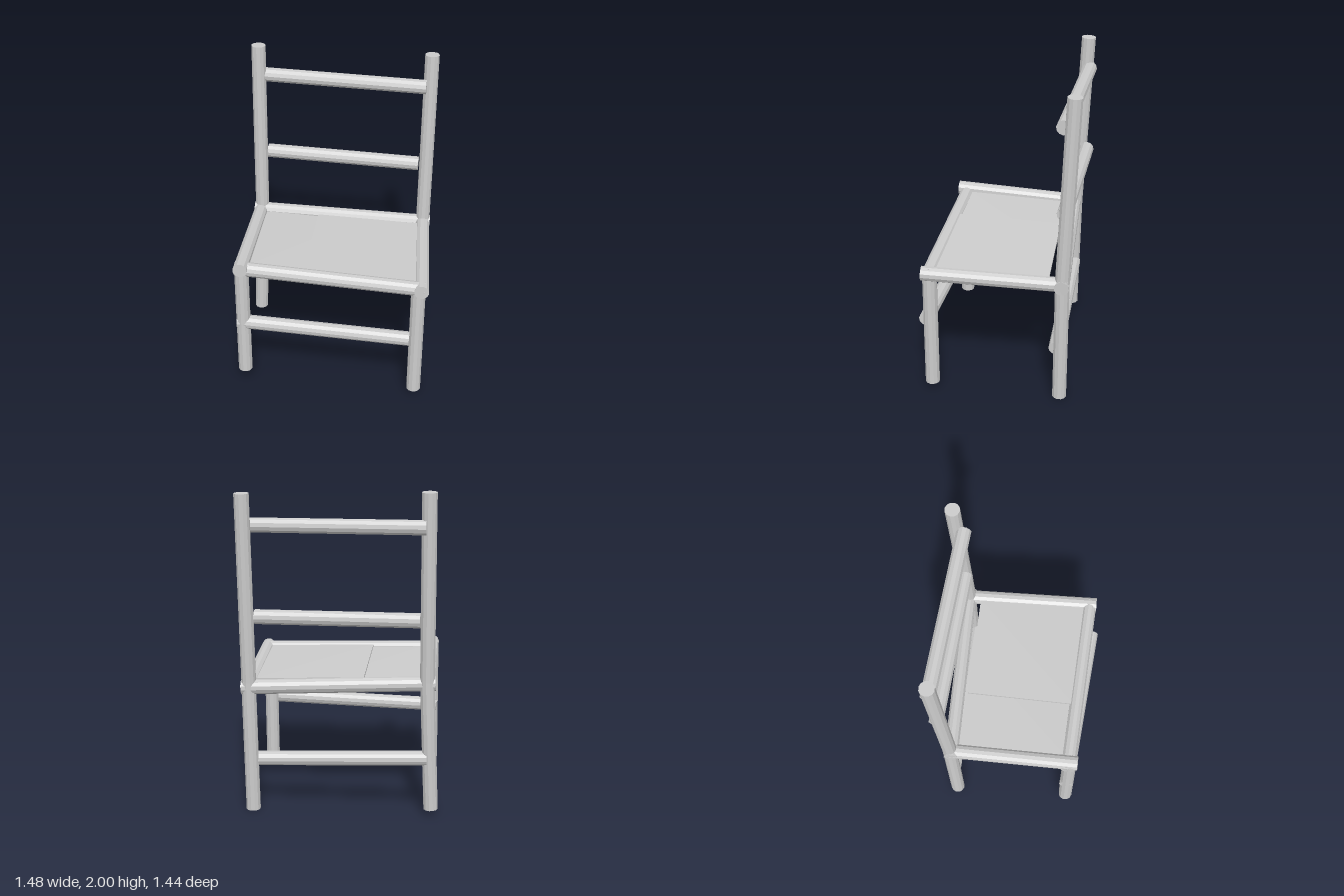
import * as THREE from 'three';

const material = new THREE.MeshStandardMaterial({ color: 0xcccccc, flatShading: true });

// Round faceted pole between two points
function pole(name, from, to, radius = 0.045) {
  const a = new THREE.Vector3(...from);
  const b = new THREE.Vector3(...to);
  const mesh = new THREE.Mesh(new THREE.CylinderGeometry(radius, radius, a.distanceTo(b), 12), material);
  mesh.name = name;
  mesh.position.copy(a).lerp(b, 0.5);
  mesh.quaternion.setFromUnitVectors(new THREE.Vector3(0, 1, 0), b.sub(a).normalize());
  return mesh;
}

// Thin board whose four plan corners follow the gently twisted seat frame
function board(name, corners, thickness) {
  const geometry = new THREE.BoxGeometry(1, 1, 1);
  const p = geometry.attributes.position;
  const [backRight, backLeft, frontRight, frontLeft] = corners.map(c => new THREE.Vector3(...c));
  for (let i = 0; i < p.count; i++) {
    const u = p.getX(i) + 0.5, w = p.getZ(i) + 0.5;
    const back = backRight.clone().lerp(backLeft, u);
    const front = frontRight.clone().lerp(frontLeft, u);
    const v = back.lerp(front, w);
    p.setXYZ(i, v.x, v.y + p.getY(i) * thickness, v.z);
  }
  geometry.computeVertexNormals();
  const mesh = new THREE.Mesh(geometry, material);
  mesh.name = name;
  return mesh;
}

export function createModel() {
  const chair = new THREE.Group();
  chair.name = 'chair';

  // Legs and back posts: the frame stands turned about its vertical axis
  const poles = [
    ['rightBackLeg', [-0.695, 0.04, 0.093], [-0.675, 0.88, 0.058]],
    ['rightBackPost', [-0.675, 0.84, 0.06], [-0.70, 2.0, 0.013]],
    ['leftBackLeg', [0.143, 0, -0.627], [0.15, 0.84, -0.638]],
    ['leftBackPost', [0.15, 0.80, -0.636], [0.127, 1.98, -0.678]],
    ['rightFrontLeg', [-0.205, 0.09, 0.66], [-0.202, 0.87, 0.65]],
    ['leftFrontLeg', [0.66, 0.04, -0.013], [0.66, 0.82, -0.018]],
    // Seat frame
    ['rightSeatRail', [-0.69, 0.845, 0.05], [-0.17, 0.89, 0.69]],
    ['leftSeatRail', [0.14, 0.80, -0.645], [0.705, 0.825, 0.005]],
    ['frontSeatRail', [-0.24, 0.867, 0.67], [0.69, 0.82, -0.04]],
    ['backSeatRail', [-0.705, 0.85, 0.10], [0.185, 0.797, -0.665]],
    // Stretchers and back rungs
    ['frontStretcher', [-0.235, 0.465, 0.675], [0.655, 0.465, 0.04]],
    ['backStretcher', [-0.68, 0.375, 0.065], [0.14, 0.325, -0.585]],
    ['middleBackRung', [-0.68, 1.255, -0.02], [0.115, 1.24, -0.605]],
    ['topBackRung', [-0.70, 1.80, -0.005], [0.145, 1.788, -0.615]],
  ];
  for (const [name, from, to] of poles) chair.add(pole(name, from, to));

  // Two overlapping seat boards
  chair.add(board('rightSeatBoard', [
    [-0.65, 0.845, 0.10], [-0.115, 0.822, -0.31],
    [-0.19, 0.875, 0.61], [0.33, 0.84, 0.20],
  ], 0.015));
  chair.add(board('leftSeatBoard', [
    [-0.335, 0.85, -0.135], [0.185, 0.822, -0.56],
    [0.09, 0.87, 0.395], [0.64, 0.838, -0.03],
  ], 0.015));

  return chair;
}
